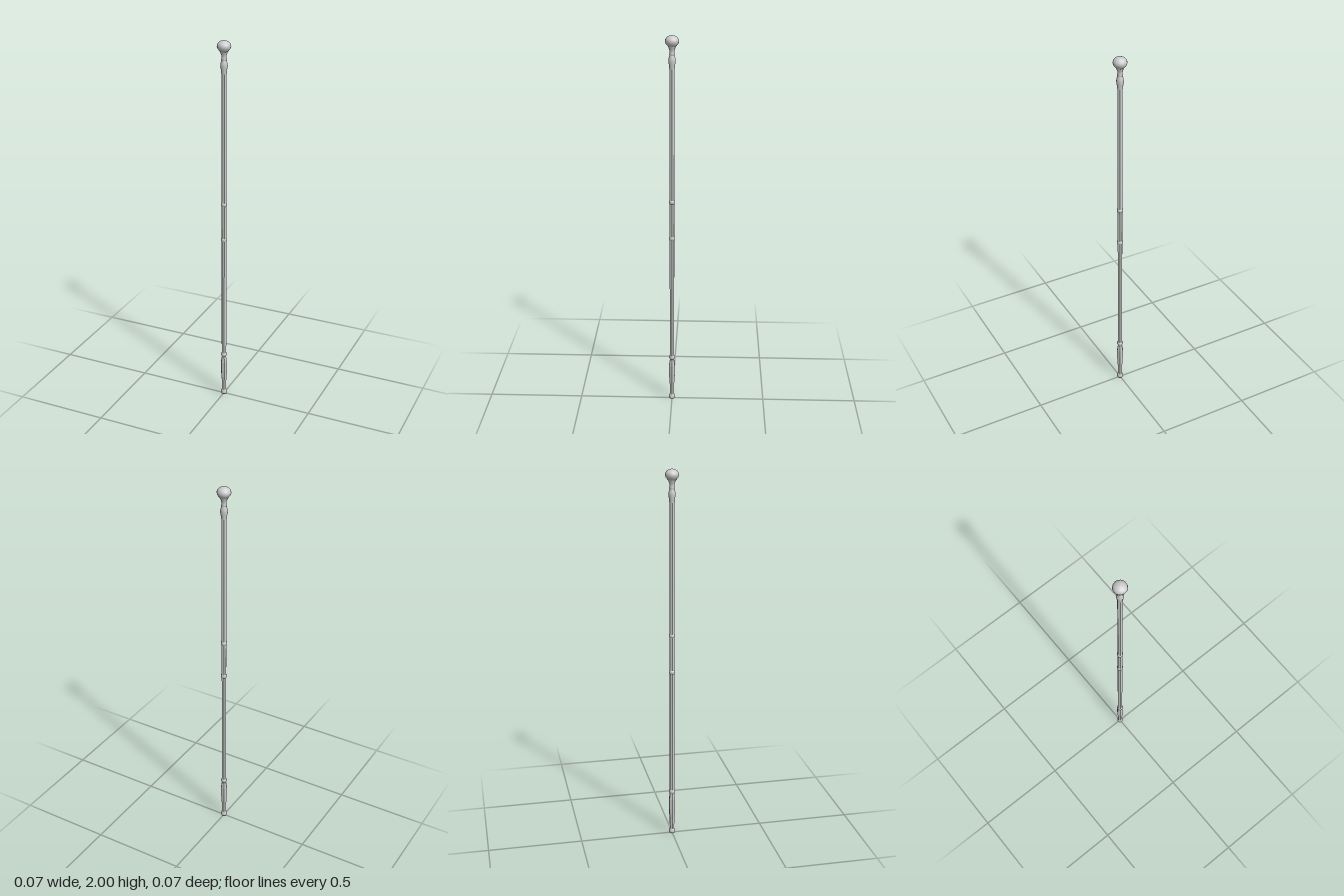
import * as THREE from 'three';

const grey = new THREE.MeshStandardMaterial({ color: 0xcccccc });
const greyFlat = new THREE.MeshStandardMaterial({ color: 0xcccccc, flatShading: true });

// Turned part from [radius, height] pairs, with a corner on the +x axis
function turned(name, profile, sides, material) {
  const points = profile.map(([r, y]) => new THREE.Vector2(r, y));
  const mesh = new THREE.Mesh(new THREE.LatheGeometry(points, sides, Math.PI / 2), material);
  mesh.name = name;
  return mesh;
}

export function createModel() {
  const group = new THREE.Group();
  group.name = 'walkingStick';

  // Six-sided shaft
  group.add(turned('shaft', [[0.0135, 0.22], [0.0135, 1.845]], 6, greyFlat));

  // Rounded knob handle
  const knob = [[0, 1.94], [0.014, 1.942], [0.023, 1.949], [0.032, 1.96], [0.0355, 1.972],
    [0.033, 1.983], [0.025, 1.993], [0.013, 1.999], [0, 2]];
  group.add(turned('knob', knob, 16, grey));

  // Narrow neck flaring into the knob
  group.add(turned('neck', [[0.012, 1.9], [0.015, 1.906], [0.0125, 1.912],
    [0.0125, 1.925], [0.016, 1.935], [0.02, 1.947]], 12, grey));

  // Swelling under the neck
  group.add(turned('upperCollar', [[0.0135, 1.835], [0.016, 1.858], [0.0185, 1.873],
    [0.0175, 1.885], [0.014, 1.898], [0.012, 1.905]], 12, grey));

  // Thin rings around the shaft
  for (const [name, y] of [['upperRing', 1.14], ['middleRing', 0.94], ['lowerRing', 0.25]]) {
    group.add(turned(name, [[0.013, y - 0.009], [0.0165, y - 0.005],
      [0.0165, y + 0.005], [0.013, y + 0.009]], 12, grey));
  }

  // Tapered lower sleeve
  group.add(turned('lowerSleeve', [[0.0125, 0.015], [0.0135, 0.085], [0.016, 0.11],
    [0.0182, 0.15], [0.0182, 0.2], [0.016, 0.215], [0.013, 0.232]], 6, greyFlat));

  // Foot cap
  group.add(turned('footCap', [[0, 0], [0.015, 0], [0.0165, 0.005],
    [0.0165, 0.017], [0.0125, 0.025]], 12, grey));

  return group;
}
